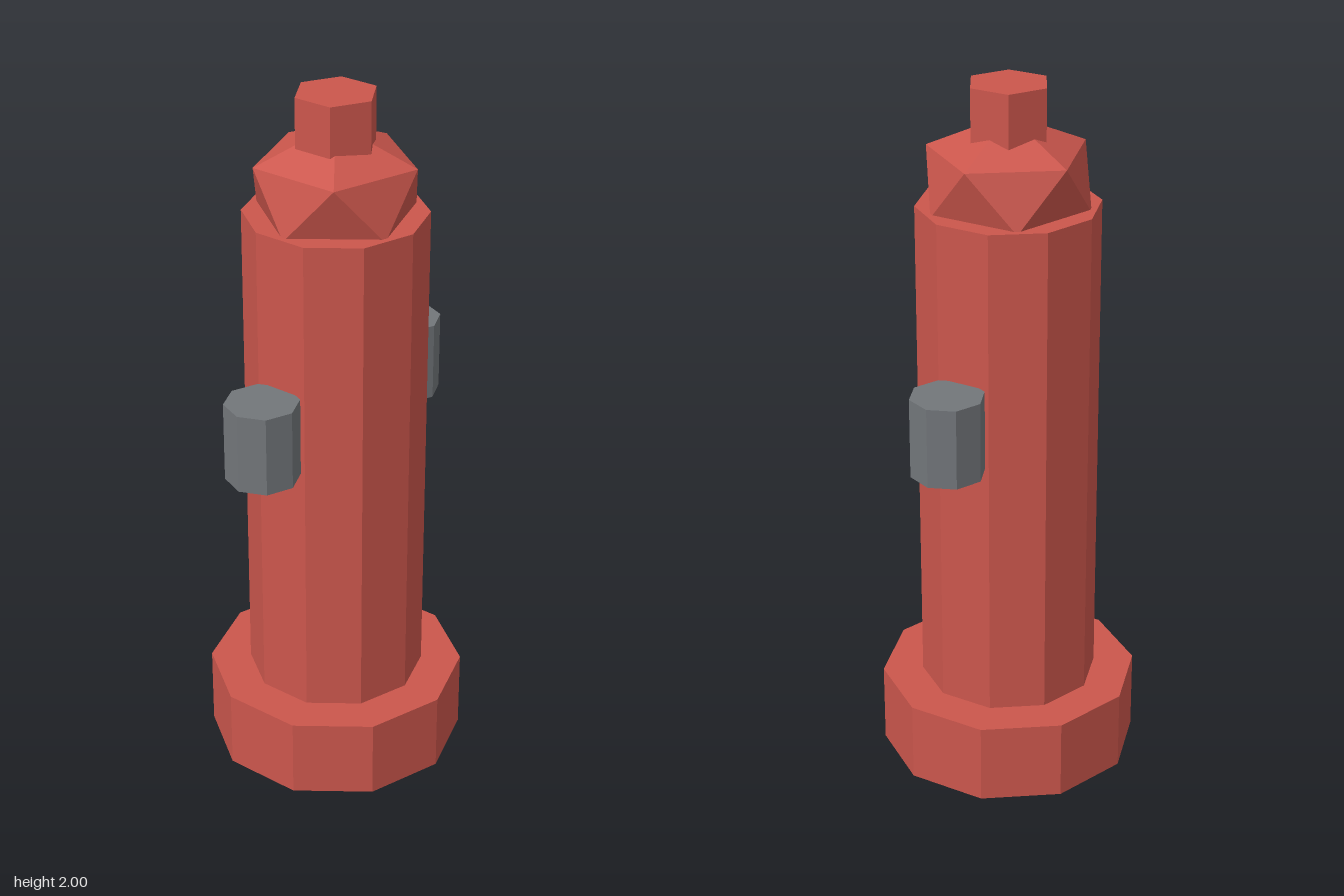
import * as THREE from 'three';

export function createModel() {
  const group = new THREE.Group();
  const red = new THREE.MeshStandardMaterial({ color: 0xcb564c, flatShading: true });
  red.name = 'hydrant red';
  const grey = new THREE.MeshStandardMaterial({ color: 0x72767a, flatShading: true });
  grey.name = 'cap grey';

  const add = (name, geometry, material, x, y) => {
    const mesh = new THREE.Mesh(geometry, material);
    mesh.name = name;
    mesh.position.set(x, y, 0);
    group.add(mesh);
  };
  // Upright prism between two heights
  const prism = (name, material, radius, sides, bottom, top, x = 0) =>
    add(name, new THREE.CylinderGeometry(radius, radius, top - bottom, sides), material, x, (bottom + top) / 2);

  prism('base', red, 0.369, 10, 0, 0.232);
  prism('barrel', red, 0.253, 10, 0.2, 1.667);

  // Faceted bonnet: icosahedron stood on a corner and flattened
  const bonnet = new THREE.IcosahedronGeometry(0.2525, 0);
  bonnet.rotateZ(-Math.atan(2 / (1 + Math.sqrt(5))));
  bonnet.scale(1, 0.7, 1);
  add('bonnet', bonnet, red, 0, 1.736);

  // Hexagonal operating nut
  prism('topNut', red, 0.115, 6, 1.77, 2);

  // Side outlets
  prism('leftOutlet', grey, 0.103, 8, 1, 1.228, 0.324);
  prism('rightOutlet', grey, 0.103, 8, 1, 1.228, -0.324);

  return group;
}
